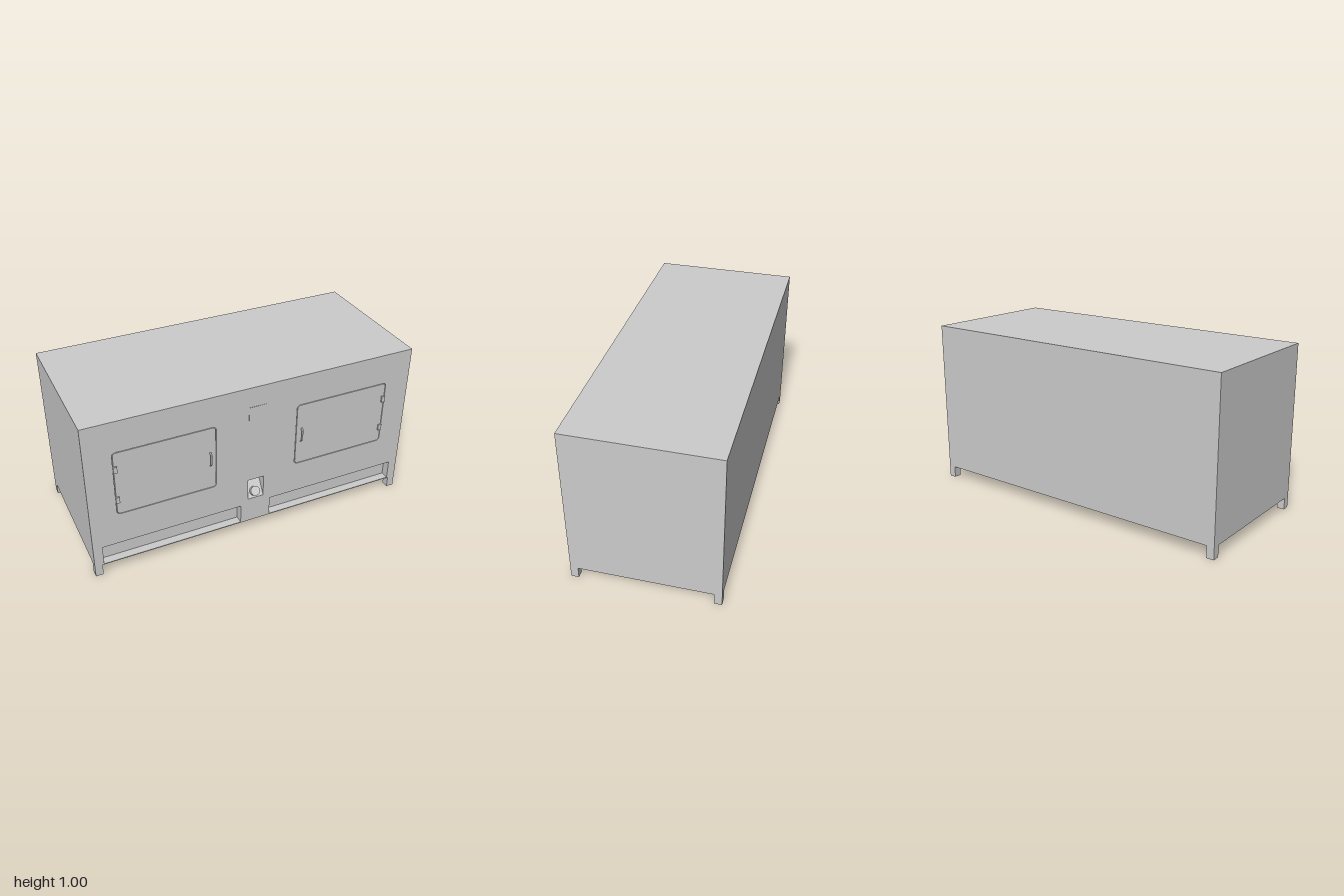
import * as THREE from 'three';

const mat = new THREE.MeshStandardMaterial({ color: 0xcccccc, flatShading: true });
const FRONT = 0.425, BACK = -0.44, BASE = 0.07;

function add(group, name, geometry) {
  const mesh = new THREE.Mesh(geometry, mat);
  mesh.name = name;
  group.add(mesh);
  return mesh;
}

// box given by its minimum and maximum corners
function block(group, name, x0, x1, y0, y1, z0, z1) {
  const mesh = add(group, name, new THREE.BoxGeometry(x1 - x0, y1 - y0, z1 - z0));
  mesh.position.set((x0 + x1) / 2, (y0 + y1) / 2, (z0 + z1) / 2);
  return mesh;
}

// rectangle outline with optional rounded corners
function rect(x0, x1, y0, y1, r = 0, Type = THREE.Path) {
  const p = new Type();
  if (r === 0) {
    p.moveTo(x0, y0).lineTo(x1, y0).lineTo(x1, y1).lineTo(x0, y1).closePath();
    return p;
  }
  p.absarc(x1 - r, y0 + r, r, -Math.PI / 2, 0);
  p.absarc(x1 - r, y1 - r, r, 0, Math.PI / 2);
  p.absarc(x0 + r, y1 - r, r, Math.PI / 2, Math.PI);
  p.absarc(x0 + r, y0 + r, r, Math.PI, Math.PI * 1.5);
  p.closePath();
  return p;
}

function extrude(shape, depth) {
  return new THREE.ExtrudeGeometry(shape, { depth, bevelEnabled: false, curveSegments: 6 });
}

// side profile in (z, y), extruded to a width centred on x = 0
function sideExtrude(points, width) {
  const shape = new THREE.Shape(points.map(([z, y]) => new THREE.Vector2(z, y)));
  return extrude(shape, width).translate(0, 0, -width / 2).rotateY(-Math.PI / 2);
}

export function createModel() {
  const root = new THREE.Group();
  root.name = 'cabinet';

  const niche = () => rect(-0.05, 0.05, 0.235, 0.375);
  const slots = () => [rect(-0.945, -0.095, 0.075, 0.197), rect(0.095, 0.945, 0.075, 0.197)];
  const doorHoles = () => [rect(-0.844, -0.25, 0.4, 0.81, 0.022), rect(0.25, 0.844, 0.4, 0.81, 0.022)];

  // Body, with the front built in layers so each opening has its own depth
  block(root, 'body', -1, 1, BASE, 1, BACK, 0.335);
  const layers = [
    ['frontInner', 0.335, 0.375, [niche()]],
    ['frontMiddle', 0.375, 0.417, [niche(), ...slots()]],
    ['frontOuter', 0.417, FRONT, [niche(), ...slots(), ...doorHoles()]],
  ];
  for (const [name, z0, z1, holes] of layers) {
    const shape = rect(-1, 1, BASE, 1, 0, THREE.Shape);
    shape.holes.push(...holes);
    add(root, name, extrude(shape, z1 - z0)).position.z = z0;
  }

  // Corner legs
  for (const sx of [-1, 1]) {
    for (const [z0, z1] of [[BACK, BACK + 0.045], [FRONT - 0.045, FRONT]]) {
      block(root, 'leg', sx > 0 ? 0.955 : -1, sx > 0 ? 1 : -0.955, 0, BASE, z0, z1);
    }
  }

  // Flush doors with hinges and handles
  for (const s of [-1, 1]) {
    const door = new THREE.Group();
    door.name = s > 0 ? 'leftDoor' : 'rightDoor';
    root.add(door);
    const x0 = s > 0 ? 0.254 : -0.84, x1 = s > 0 ? 0.84 : -0.254;
    const panel = rect(x0, x1, 0.404, 0.806, 0.019, THREE.Shape);
    add(door, 'doorPanel', extrude(panel, 0.008)).position.z = 0.417;

    for (const y of [0.5, 0.702]) {
      const x = s * 0.833;
      block(door, 'hinge', x - 0.011, x + 0.011, y - 0.02, y + 0.02, 0.42, 0.433);
    }

    const handle = sideExtrude([
      [0.42, 0.555], [0.427, 0.555], [0.44, 0.57], [0.44, 0.633], [0.427, 0.648], [0.42, 0.648],
      [0.42, 0.642], [0.426, 0.642], [0.435, 0.63], [0.435, 0.573], [0.426, 0.561], [0.42, 0.561],
    ], 0.009);
    add(door, 'handle', handle).position.x = s * 0.287;
  }

  // Sloped niche floor and its tilted button
  add(root, 'nicheSlope', sideExtrude([[0.425, 0.235], [0.335, 0.375], [0.335, 0.235]], 0.1));
  const button = add(root, 'button', new THREE.CylinderGeometry(0.029, 0.029, 0.04, 24));
  button.position.set(0, 0.268, 0.406);
  button.rotation.x = 0.95;

  // Thin control panel
  block(root, 'controlPanel', -0.052, 0.052, 0.79, 0.876, 0.42, 0.4265);

  return root;
}
